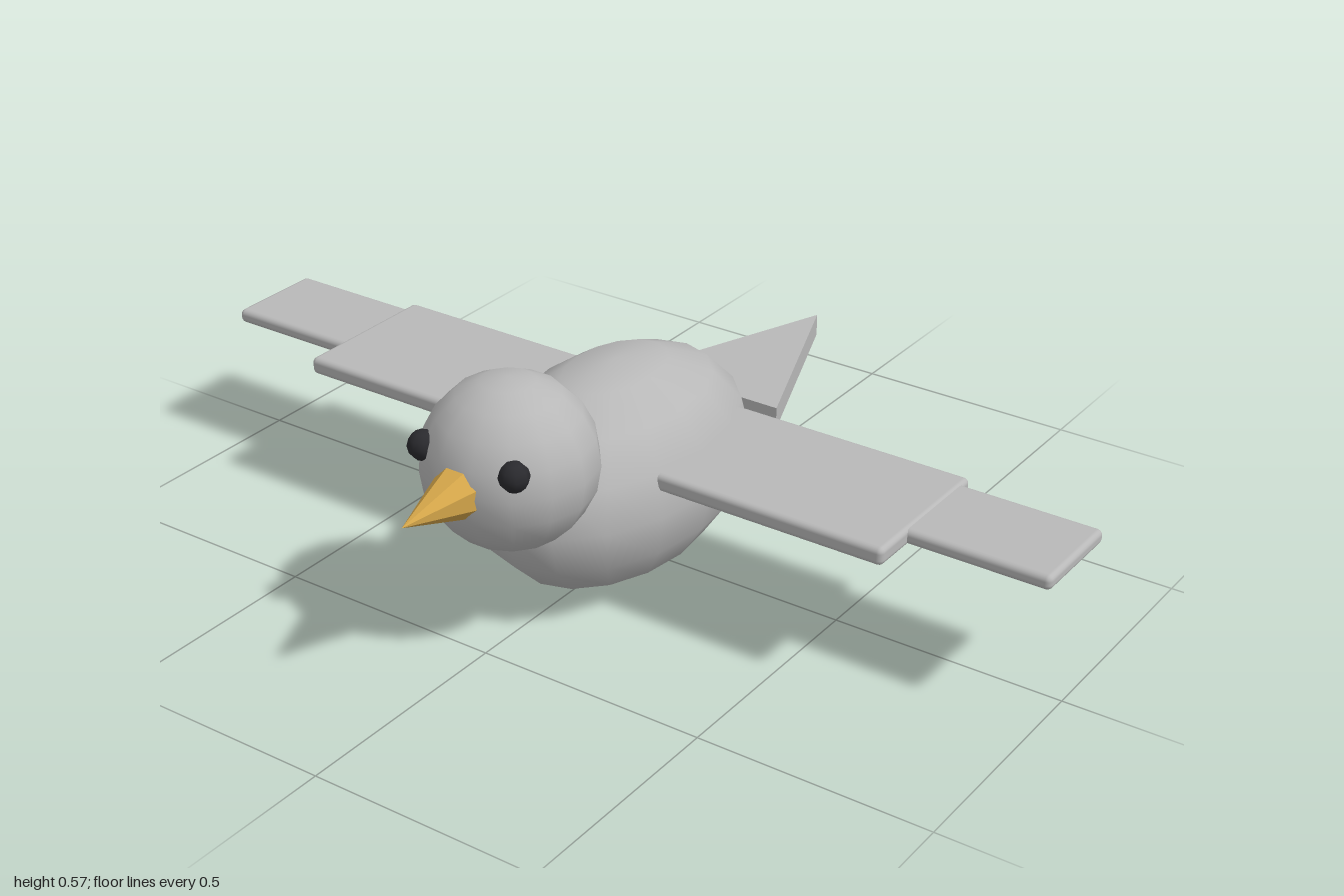
import * as THREE from 'three';
import { RoundedBoxGeometry } from 'three/addons/geometries/RoundedBoxGeometry.js';

const material = (name, color, extra = {}) => {
  const m = new THREE.MeshStandardMaterial({ color, ...extra });
  m.name = name;
  return m;
};

export function createModel() {
  const bird = new THREE.Group();
  bird.name = 'bird';
  const grey = material('feather grey', 0xb8b8b8);
  const gold = material('beak gold', 0xd4a64a, { flatShading: true });
  const black = material('eye black', 0x2a2a2e);

  const add = (name, geometry, mat, x, y, z) => {
    const mesh = new THREE.Mesh(geometry, mat);
    mesh.name = name;
    mesh.position.set(x, y, z);
    bird.add(mesh);
    return mesh;
  };

  // Egg-like body and round head, both coarse smooth spheres
  add('body', new THREE.SphereGeometry(1, 16, 8), grey, 0, 0.236, 0.061).scale.set(0.232, 0.234, 0.365);
  add('head', new THREE.SphereGeometry(0.178, 14, 10), grey, 0, 0.394, 0.407);

  // Eight-sided beak pointing forward
  const beak = new THREE.ConeGeometry(0.064, 0.19, 8);
  beak.rotateY(Math.PI / 8).rotateX(Math.PI / 2);
  add('beak', beak, gold, 0, 0.394, 0.635);

  // Eyes and stepped wings on both sides
  for (const [side, s] of [['left', 1], ['right', -1]]) {
    add(side + 'Eye', new THREE.SphereGeometry(0.031, 8, 6), black, s * 0.109, 0.447, 0.534);
    add(side + 'InnerWing', new RoundedBoxGeometry(0.6, 0.038, 0.344, 2, 0.012), grey, s * 0.402, 0.308, 0.024);
    add(side + 'OuterWing', new RoundedBoxGeometry(0.36, 0.031, 0.222, 2, 0.012), grey, s * 0.82, 0.308, -0.011);
  }

  // Flat triangular tail, tip pointing back
  const outline = new THREE.Shape([
    new THREE.Vector2(-0.171, 0.285),
    new THREE.Vector2(0.171, 0.285),
    new THREE.Vector2(0, 0.73),
  ]);
  const tail = new THREE.ExtrudeGeometry(outline, { depth: 0.05, bevelEnabled: false });
  tail.rotateX(-Math.PI / 2);
  add('tail', tail, grey, 0, 0.212, 0);

  return bird;
}
